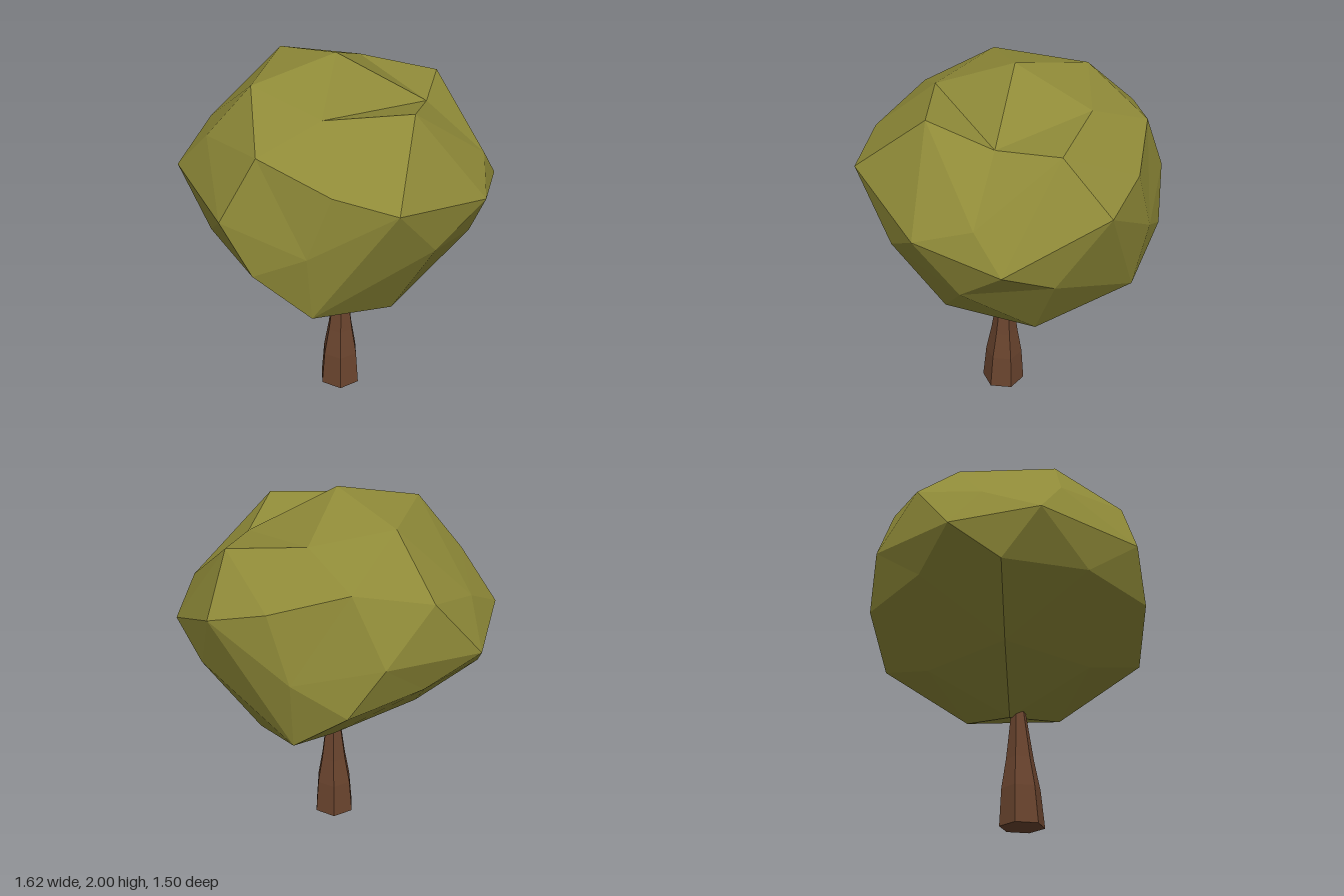
import * as THREE from 'three';

const leafMaterial = new THREE.MeshStandardMaterial({ color: 0x8f8a38, flatShading: true });
const barkMaterial = new THREE.MeshStandardMaterial({ color: 0x6a442e, flatShading: true });

// Crown: a faceted icosphere in rings, running from +x towards +z, with its corners pulled about.
function createCrown() {
  const top = [0, 2, 0];
  const upperFive = [
    [0.45, 1.75, -0.08], [0.03, 1.83, 0.43], [-0.365, 1.9, 0.27], [-0.365, 1.9, -0.26], [0.03, 1.83, -0.42],
  ];
  const upperTen = [
    [0.76, 1.48, -0.1], [0.45, 1.84, 0.28], [0.15, 1.59, 0.73], [-0.24, 1.7, 0.63], [-0.6, 1.62, 0.3],
    [-0.72, 1.53, -0.1], [-0.6, 1.62, -0.45], [-0.24, 1.7, -0.63], [0.15, 1.59, -0.71], [0.45, 1.78, -0.42],
  ];
  const middleTen = [
    [0.81, 1.38, 0.2], [0.46, 1.51, 0.69], [0.03, 1.25, 0.75], [-0.42, 1.36, 0.69], [-0.81, 1.38, 0.2],
    [-0.81, 1.3, -0.26], [-0.42, 1.36, -0.68], [0.03, 1.25, -0.75], [0.46, 1.51, -0.68], [0.81, 1.29, -0.26],
  ];
  const lowerTen = [
    [0.72, 1.07, 0], [0.6, 1.19, 0.43], [0.04, 0.875, 0.7], [-0.25, 1.1, 0.73], [-0.56, 1.15, 0.43],
    [-0.76, 1.12, 0], [-0.56, 1.15, -0.43], [-0.25, 1.1, -0.73], [0.04, 0.875, -0.68], [0.6, 1.15, -0.45],
  ];
  const lowerFive = [
    [0.36, 0.69, 0.26], [-0.1, 0.82, 0.43], [-0.44, 0.83, 0], [-0.1, 0.82, -0.43], [0.36, 0.69, -0.26],
  ];
  const bottom = [0, 0.585, 0];

  const positions = [];
  const face = (a, b, c) => positions.push(...a, ...b, ...c);
  const at = (ring, i) => ring[(i + ring.length) % ring.length];

  // caps: a fan of five, then the band joining five corners to ten
  for (let i = 0; i < 5; i++) {
    const u = at(upperFive, i), uNext = at(upperFive, i + 1);
    face(top, uNext, u);
    face(u, at(upperTen, 2 * i + 1), at(upperTen, 2 * i));
    face(u, at(upperTen, 2 * i), at(upperTen, 2 * i - 1));
    face(u, uNext, at(upperTen, 2 * i + 1));

    const l = at(lowerFive, i), lNext = at(lowerFive, i + 1);
    face(bottom, l, lNext);
    face(l, at(lowerTen, 2 * i), at(lowerTen, 2 * i + 1));
    face(l, at(lowerTen, 2 * i + 1), at(lowerTen, 2 * i + 2));
    face(l, at(lowerTen, 2 * i + 2), lNext);
  }
  // the two zigzag bands around the middle
  for (let j = 0; j < 10; j++) {
    const m = at(middleTen, j);
    face(at(upperTen, j), m, at(middleTen, j - 1));
    face(at(upperTen, j), at(upperTen, j + 1), m);
    face(m, at(lowerTen, j + 1), at(lowerTen, j));
    face(m, at(middleTen, j + 1), at(lowerTen, j + 1));
  }

  const geometry = new THREE.BufferGeometry();
  geometry.setAttribute('position', new THREE.Float32BufferAttribute(positions, 3));
  geometry.computeVertexNormals();
  const crown = new THREE.Mesh(geometry, leafMaterial);
  crown.name = 'crown';
  return crown;
}

// Trunk: six-sided, tapering, leaning slightly backwards
function createTrunk() {
  const profile = [[0, 0], [0.12, 0], [0.104, 0.2], [0.075, 0.36], [0.04, 0.62], [0, 0.62]]
    .map(([r, y]) => new THREE.Vector2(r, y));
  const geometry = new THREE.LatheGeometry(profile, 6, THREE.MathUtils.degToRad(15));
  const p = geometry.attributes.position;
  for (let i = 0; i < p.count; i++) {
    p.setX(i, p.getX(i) + 0.035);
    p.setZ(i, p.getZ(i) + 0.062 - 0.027 * p.getY(i));
  }
  geometry.computeVertexNormals();
  const trunk = new THREE.Mesh(geometry, barkMaterial);
  trunk.name = 'trunk';
  return trunk;
}

export function createModel() {
  const tree = new THREE.Group();
  tree.name = 'tree';
  tree.add(createCrown(), createTrunk());
  return tree;
}
